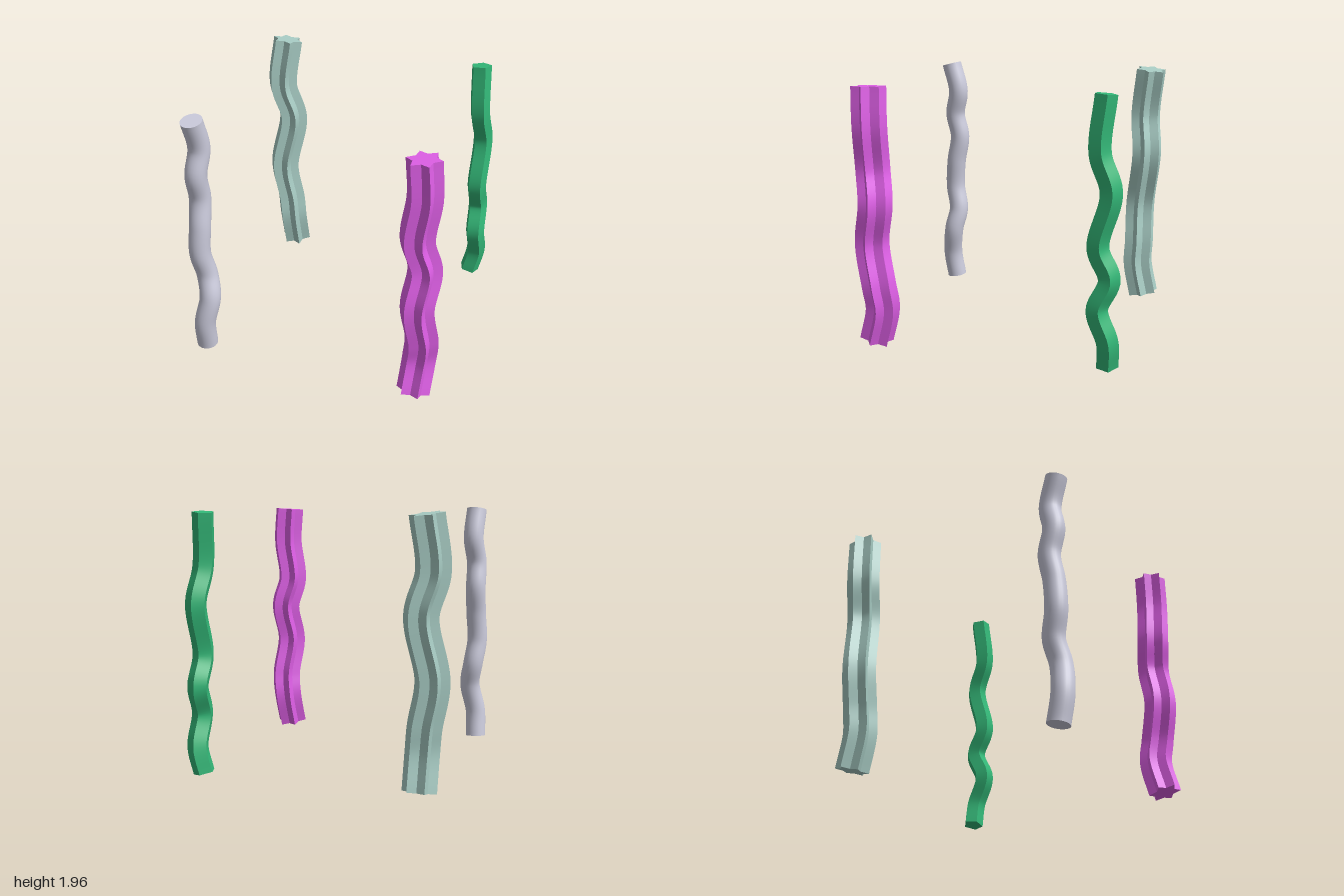
import * as THREE from 'three';
import { toCreasedNormals } from 'three/addons/utils/BufferGeometryUtils.js';

// Cross-section outline in (x, z): alternate radii give a star
function outline(count, radii, startAngle) {
  return Array.from({ length: count }, (_, i) => {
    const a = startAngle + (i / count) * Math.PI * 2;
    const r = radii[i % radii.length];
    return [r * Math.cos(a), r * Math.sin(a)];
  });
}

// Sweep an outline along a path that climbs from bottom to top, with flat ends
function sweep(section, path, rings = 72) {
  const curve = new THREE.CatmullRomCurve3(path.map(p => new THREE.Vector3(...p)));
  const up = new THREE.Vector3(0, 1, 0);
  const n = section.length;
  const pos = [], index = [];
  for (let i = 0; i <= rings; i++) {
    const c = curve.getPointAt(i / rings);
    const q = new THREE.Quaternion().setFromUnitVectors(up, curve.getTangentAt(i / rings));
    for (const [x, z] of section) {
      const v = new THREE.Vector3(x, 0, z).applyQuaternion(q).add(c);
      pos.push(v.x, v.y, v.z);
    }
  }
  for (let i = 0; i < rings; i++) {
    for (let j = 0; j < n; j++) {
      const a = i * n + j, b = i * n + (j + 1) % n;
      index.push(a, a + n, b, b, a + n, b + n);
    }
  }
  // End caps, fanned from the path's end points
  for (const [t, base] of [[0, 0], [1, rings * n]]) {
    const centre = pos.length / 3;
    pos.push(...curve.getPointAt(t).toArray());
    for (let j = 0; j < n; j++) {
      const a = base + j, b = base + (j + 1) % n;
      if (t) index.push(centre, b, a);
      else index.push(centre, a, b);
    }
  }
  const g = new THREE.BufferGeometry();
  g.setAttribute('position', new THREE.Float32BufferAttribute(pos, 3));
  g.setIndex(index);
  return toCreasedNormals(g, 0.6);
}

export function createModel() {
  const star = outline(12, [0.126, 0.08], 0);
  const pentagon = outline(5, [0.082], -Math.PI / 2);
  const circle = outline(24, [0.081], 0);

  // Four wavy columns, one at each corner; paths run from bottom to top
  const columns = [
    {
      name: 'frontRightRoundColumn', color: 0xccccdd, section: circle,
      path: [
        [-0.857, 0.025, 0.85], [-0.845, 0.24, 0.88], [-0.8, 0.47, 0.85],
        [-0.83, 0.65, 0.815], [-0.855, 0.85, 0.85], [-0.845, 1.08, 0.835],
        [-0.845, 1.3, 0.8], [-0.842, 1.5, 0.838], [-0.82, 1.7, 0.8], [-0.83, 1.935, 0.86],
      ],
    },
    {
      name: 'frontLeftStarColumn', color: 0xe060e8, section: star,
      path: [
        [0.83, 0.03, 0.875], [0.848, 0.29, 0.81], [0.865, 0.47, 0.828],
        [0.836, 0.78, 0.883], [0.868, 1.08, 0.833], [0.815, 1.32, 0.866],
        [0.853, 1.65, 0.864], [0.838, 1.93, 0.868],
      ],
    },
    {
      name: 'backRightStarColumn', color: 0xa8ccc4, section: star,
      path: [
        [-0.8, 0.03, -0.867], [-0.805, 0.3, -0.812], [-0.82, 0.48, -0.815],
        [-0.87, 0.8, -0.81], [-0.8, 1.25, -0.862], [-0.872, 1.55, -0.832],
        [-0.835, 1.935, -0.873],
      ],
    },
    {
      name: 'backLeftPentagonColumn', color: 0x33b878, section: pentagon,
      path: [
        [0.83, 0.025, -0.88], [0.873, 0.22, -0.885], [0.87, 0.45, -0.806],
        [0.861, 0.67, -0.887], [0.856, 0.89, -0.802], [0.862, 1.28, -0.888],
        [0.841, 1.54, -0.802], [0.82, 1.935, -0.833],
      ],
    },
  ];

  const group = new THREE.Group();
  for (const { name, color, section, path } of columns) {
    const mesh = new THREE.Mesh(sweep(section, path), new THREE.MeshStandardMaterial({ color }));
    mesh.name = name;
    group.add(mesh);
  }
  return group;
}
